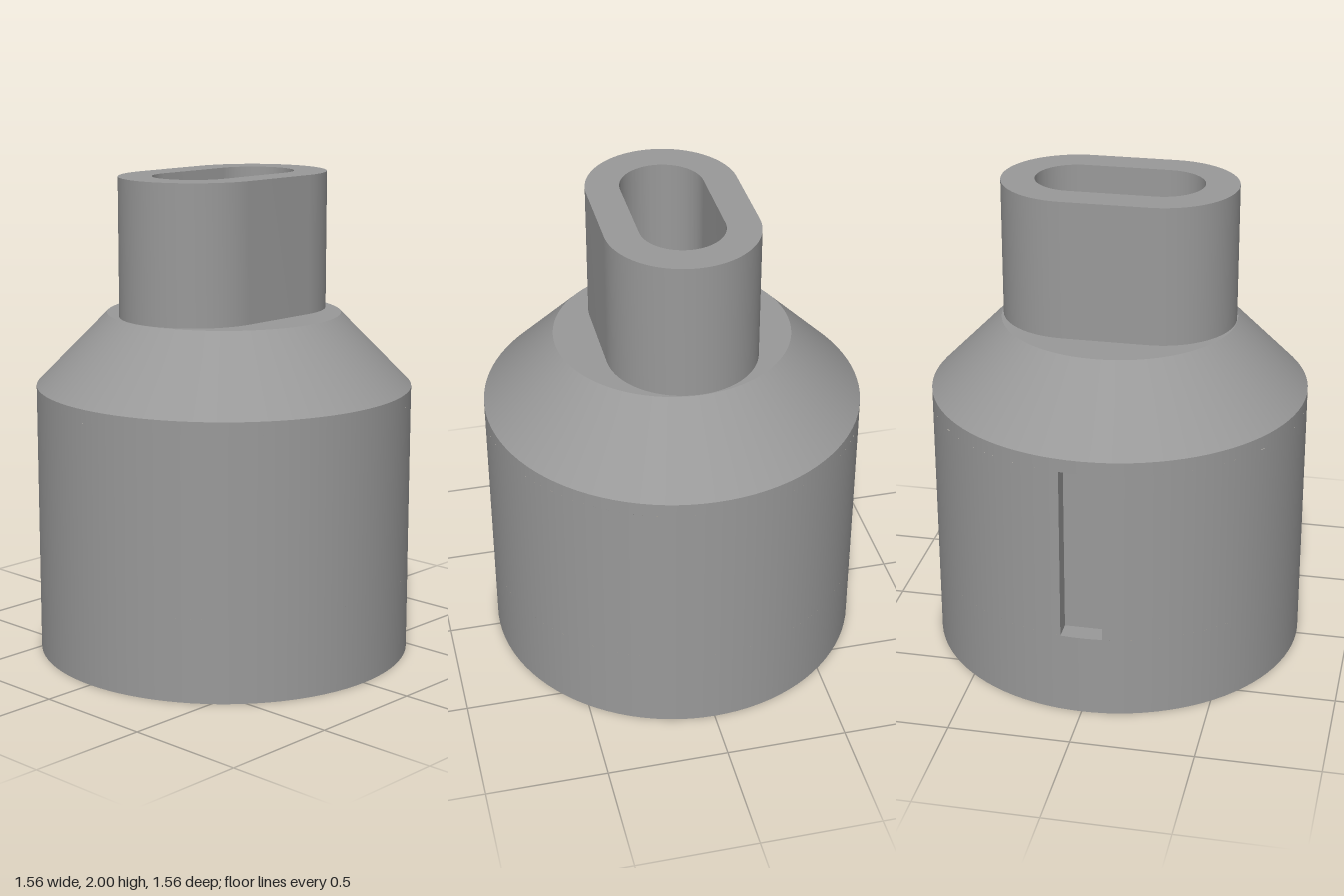
import * as THREE from 'three';
import { toCreasedNormals } from 'three/addons/utils/BufferGeometryUtils.js';

const R = 0.78;                       // body radius
const BORE = 0.285;                   // through-hole radius
const SHOULDER = 1.43;                // height where the neck starts
const SLOT = { w: 0.085, y0: 0.345, y1: 1.075, z: 0.695 };

const grey = new THREE.MeshStandardMaterial({ color: 0x999999 });
grey.name = 'grey';

function add(group, name, geometry) {
  const mesh = new THREE.Mesh(geometry, grey);
  mesh.name = name;
  group.add(mesh);
  return mesh;
}

// One conical, cylindrical or flat ring; rising = faces out, falling = faces in
function ring(r0, y0, r1, y1, start = 0, length = Math.PI * 2) {
  const line = [new THREE.Vector2(r0, y0), new THREE.Vector2(r1, y1)];
  return new THREE.LatheGeometry(line, 96, start, length);
}

// Rounded slot outline: two half circles joined by straight sides
function stadium(path, half, r) {
  path.absarc(half, 0, r, -Math.PI / 2, Math.PI / 2, false);
  path.absarc(-half, 0, r, Math.PI / 2, Math.PI * 1.5, false);
  path.closePath();
  return path;
}

function makeBody() {
  const body = new THREE.Group();
  body.name = 'body';
  const a = Math.asin(SLOT.w / R);
  // Outer shell, left open at the back for the recess
  add(body, 'bottomRim', ring(0.62, 0, R, 0));
  add(body, 'lowerWall', ring(R, 0, R, SLOT.y0));
  add(body, 'middleWall', ring(R, SLOT.y0, R, SLOT.y1, Math.PI + a, 2 * (Math.PI - a)));
  add(body, 'upperWall', ring(R, SLOT.y1, R, 1.13));
  add(body, 'coneShoulder', ring(R, 1.13, 0.485, SHOULDER));
  add(body, 'shoulderLedge', ring(0.485, SHOULDER, BORE, SHOULDER));
  // Inner cavity
  add(body, 'bore', ring(BORE, SHOULDER, BORE, 0.48));
  add(body, 'cavityCone', ring(BORE, 0.48, 0.55, 0.21));
  add(body, 'socketWall', ring(0.55, 0.21, 0.55, 0.065));
  add(body, 'socketChamfer', ring(0.55, 0.065, 0.62, 0));
  return body;
}

function makeRecess() {
  const recess = new THREE.Group();
  recess.name = 'backRecess';
  const { w, y0, y1, z } = SLOT;
  const height = y1 - y0, mid = (y0 + y1) / 2;
  const rim = Math.sqrt(R * R - w * w);

  add(recess, 'recessBack', new THREE.PlaneGeometry(2 * w, height).rotateY(Math.PI))
    .position.set(0, mid, -z);
  for (const side of [-1, 1]) {
    add(recess, side > 0 ? 'recessLeftWall' : 'recessRightWall',
      new THREE.PlaneGeometry(rim - z, height).rotateY(-side * Math.PI / 2))
      .position.set(side * w, mid, -(z + rim) / 2);
  }

  // Sill and lintel follow the curve of the body
  const shape = new THREE.Shape();
  const t = Math.acos(w / R);
  shape.moveTo(-w, z);
  shape.lineTo(w, z);
  shape.absarc(0, 0, R, t, Math.PI - t, false);
  shape.closePath();
  add(recess, 'recessSill', new THREE.ShapeGeometry(shape).rotateX(-Math.PI / 2)).position.y = y0;
  add(recess, 'recessLintel',
    new THREE.ShapeGeometry(shape).rotateX(Math.PI / 2).rotateY(Math.PI)).position.y = y1;
  return recess;
}

function makeNeck() {
  // Hollow flat-sided neck
  const shape = stadium(new THREE.Shape(), 0.175, 0.307);
  shape.holes.push(stadium(new THREE.Path(), 0.175, 0.17));
  const geometry = new THREE.ExtrudeGeometry(shape, {
    depth: 2 - SHOULDER, bevelEnabled: false, curveSegments: 32,
  }).rotateX(-Math.PI / 2).translate(0, SHOULDER, 0);
  return toCreasedNormals(geometry, 0.5);
}

export function createModel() {
  const model = new THREE.Group();
  model.name = 'nozzleAdapter';
  model.add(makeBody(), makeRecess());
  add(model, 'neck', makeNeck());
  return model;
}
